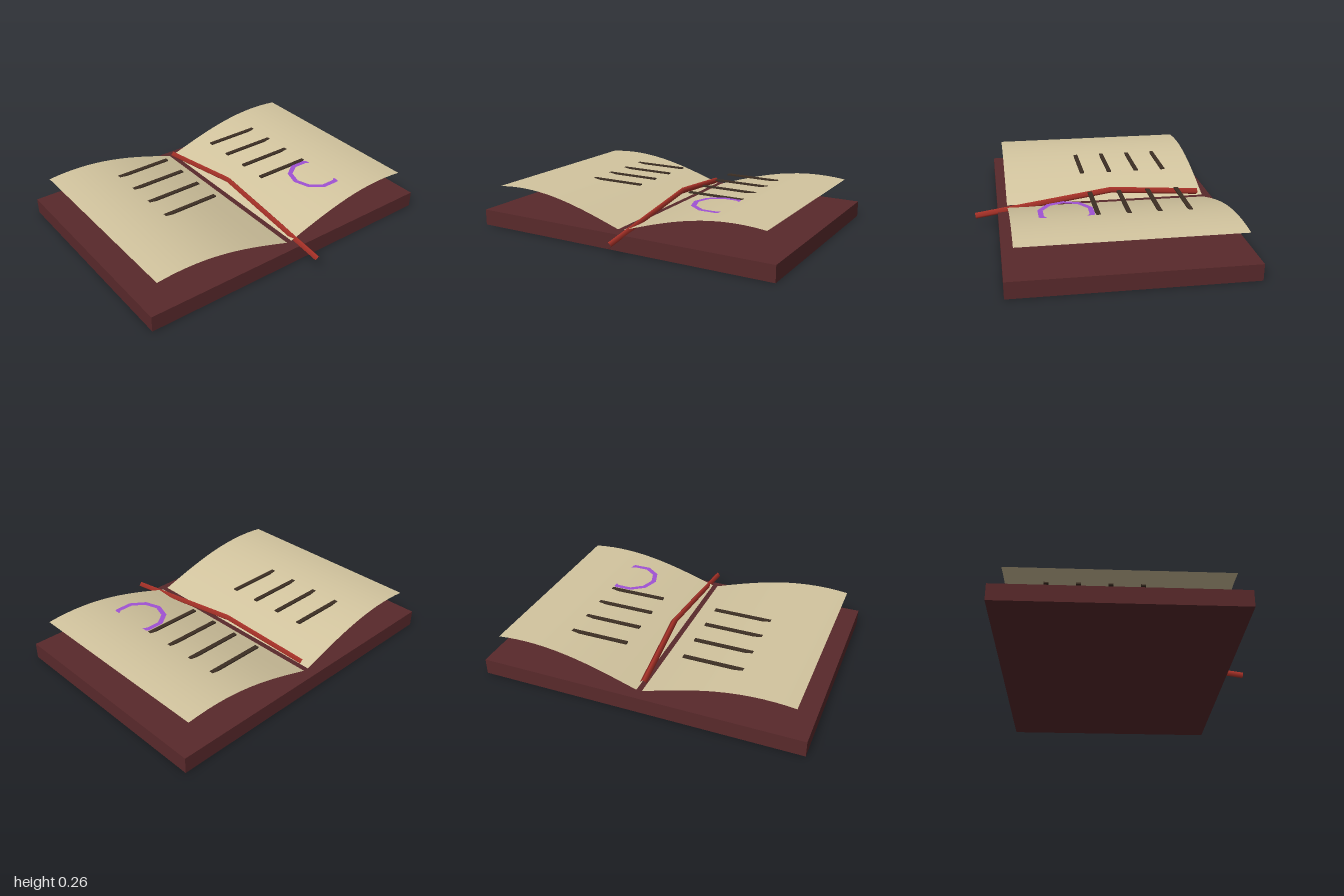
import * as THREE from 'three';

const mat = (name, color, extra = {}) =>
  Object.assign(new THREE.MeshStandardMaterial({ color, ...extra }), { name });

export function createModel() {
  const book = new THREE.Group();
  book.name = 'openBook';

  const leather = mat('darkLeather', 0x59292b);
  const paper = mat('paper', 0xd3c59f, { side: THREE.DoubleSide });
  const ink = mat('ink', 0x3d2f24);
  const red = mat('ribbonRed', 0xad3329);
  const purple = mat('purpleInk', 0xa052d4);

  const add = (name, geometry, material, x = 0, y = 0, z = 0, parent = book) => {
    const mesh = new THREE.Mesh(geometry, material);
    mesh.name = name;
    mesh.position.set(x, y, z);
    parent.add(mesh);
    return mesh;
  };

  // Cover: one solid slab
  add('cover', new THREE.BoxGeometry(2, 0.1, 1.4), leather, 0, 0.05, -0.07);

  // Height of a page at a distance from the spine
  const inner = 0.017, outer = 0.918;
  const pageHeight = (d) => 0.11 + 0.154 * Math.sin(((d - inner) / (outer - inner)) * 1.95);

  for (const side of [-1, 1]) {
    const half = new THREE.Group();
    half.name = side > 0 ? 'leftHalf' : 'rightHalf';
    book.add(half);

    // Page: a thin sheet rising from the spine
    const page = new THREE.PlaneGeometry(outer - inner, 1.28, 14, 1).rotateX(-Math.PI / 2);
    page.translate((side * (inner + outer)) / 2, 0, -0.07);
    const p = page.attributes.position;
    for (let i = 0; i < p.count; i++) p.setY(i, pageHeight(Math.abs(p.getX(i))));
    page.computeVertexNormals();
    add('page', page, paper, 0, 0, 0, half);

    // Four level text strokes, partly sunk into the page
    for (let i = 0; i < 4; i++) {
      add('textLine', new THREE.BoxGeometry(0.6, 0.008, 0.027), ink,
        side * 0.48, 0.246, -0.478 + i * 0.181, half);
    }
  }

  // Flat ten-sided ring drawn on one page
  const ring = new THREE.RingGeometry(0.138, 0.17, 10).rotateX(-Math.PI / 2);
  add('drawnRing', ring, purple, 0.48, 0.25, 0.245);

  // Ribbon bookmark: two straight runs of a four-sided tube, bent over the middle
  const path = new THREE.CatmullRomCurve3([
    new THREE.Vector3(-0.009, 0.14, -0.67),
    new THREE.Vector3(0.038, 0.2, -0.09),
    new THREE.Vector3(0.052, 0.08, 0.77),
  ]);
  path.getUtoTmapping = (u) => u; // puts the bend exactly on the middle point
  add('ribbonBookmark', new THREE.TubeGeometry(path, 2, 0.02, 4), red);

  return book;
}
